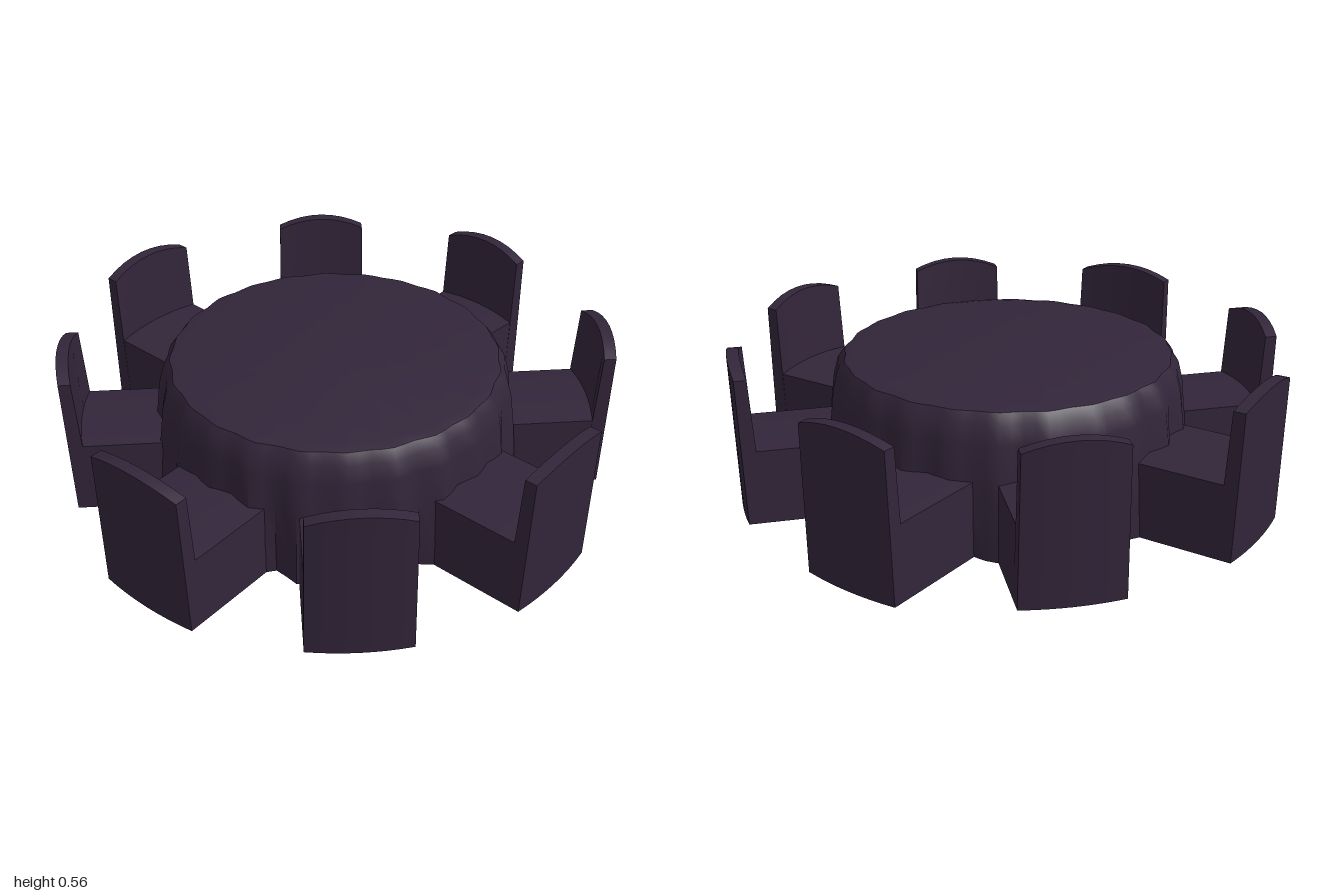
import * as THREE from 'three';
import { toCreasedNormals } from 'three/addons/utils/BufferGeometryUtils.js';

const fabric = new THREE.MeshStandardMaterial({ color: 0x32253a });
fabric.name = 'dark plum fabric';

// Move every vertex by a rule, then restore crisp edges.
function shape(geometry, rule, crease = 0.6) {
  const p = geometry.attributes.position;
  const v = new THREE.Vector3();
  for (let i = 0; i < p.count; i++) {
    v.fromBufferAttribute(p, i);
    rule(v);
    p.setXYZ(i, v.x, v.y, v.z);
  }
  return toCreasedNormals(geometry, crease);
}

function part(name, geometry) {
  const mesh = new THREE.Mesh(geometry, fabric);
  mesh.name = name;
  return mesh;
}

// Round table under a floor-length cloth whose folds deepen downwards.
function makeTable() {
  const profile = [
    [0, 0], [0.65, 0], [0.645, 0.12], [0.637, 0.27], [0.625, 0.4],
    [0.61, 0.465], [0.585, 0.5], [0.55, 0.507], [0, 0.507],
  ].map(([r, y]) => new THREE.Vector2(r, y));
  const geometry = new THREE.LatheGeometry(profile, 96);
  return part('tableWithCloth', shape(geometry, (v) => {
    const r = Math.hypot(v.x, v.z);
    if (r < 0.56) return;
    const a = Math.atan2(v.z, v.x);
    const depth = 0.004 + 0.016 * (1 - v.y / 0.507);
    const fold = Math.cos(24 * a) + 0.4 * Math.cos(17 * a + 1);
    const s = 1 + depth * fold / r;
    v.x *= s;
    v.z *= s;
  }));
}

// Covered chair; its outer face lies at local z = 0 and it faces -z.
function makeChair(width) {
  const chair = new THREE.Group();
  const half = width / 2;

  const back = new THREE.BoxGeometry(width, 0.555, 0.055, 8, 6, 1);
  back.translate(0, 0.2775, -0.0275);
  chair.add(part('chairBack', shape(back, (v) => {
    const u = v.x / half;
    const h = v.y / 0.555;
    const outer = v.z > -0.02;
    v.z -= 0.015 * u * u; // bowed in plan
    v.z += outer ? -0.012 * (1 - h) : -0.015 * (1 - h) + 0.012 * h;
    v.y += h * (0.01 - 0.035 * u * u); // arched top edge
    v.x *= 1.02 - 0.04 * h;
  })));

  const seat = new THREE.BoxGeometry(width, 0.28, 0.4, 4, 1, 4);
  seat.translate(0, 0.14, -0.24);
  chair.add(part('skirtedSeat', shape(seat, (v) => {
    if (v.y > 0.2) v.y -= 0.01 * (v.x / half) ** 2;
    v.x *= 1.02 - 0.03 * v.y / 0.28;
  })));
  return chair;
}

export function createModel() {
  const model = new THREE.Group();
  model.name = 'diningSet';
  model.add(makeTable());

  // Outer centre x, z, heading in degrees, width
  const places = [
    [-0.005, 1, 0, 0.38],
    [0.715, 0.685, 46, 0.345],
    [0.995, -0.03, 86, 0.36],
    [0.69, -0.685, 134, 0.345],
    [-0.02, -1, 180, 0.38],
    [-0.7, -0.68, -134, 0.35],
    [-1, 0.035, -88, 0.385],
    [-0.69, 0.71, -45, 0.35],
  ];
  places.forEach(([x, z, heading, width], i) => {
    const chair = makeChair(width);
    chair.name = `chair${i + 1}`;
    chair.position.set(x, 0, z);
    chair.rotation.y = THREE.MathUtils.degToRad(heading);
    model.add(chair);
  });
  return model;
}
